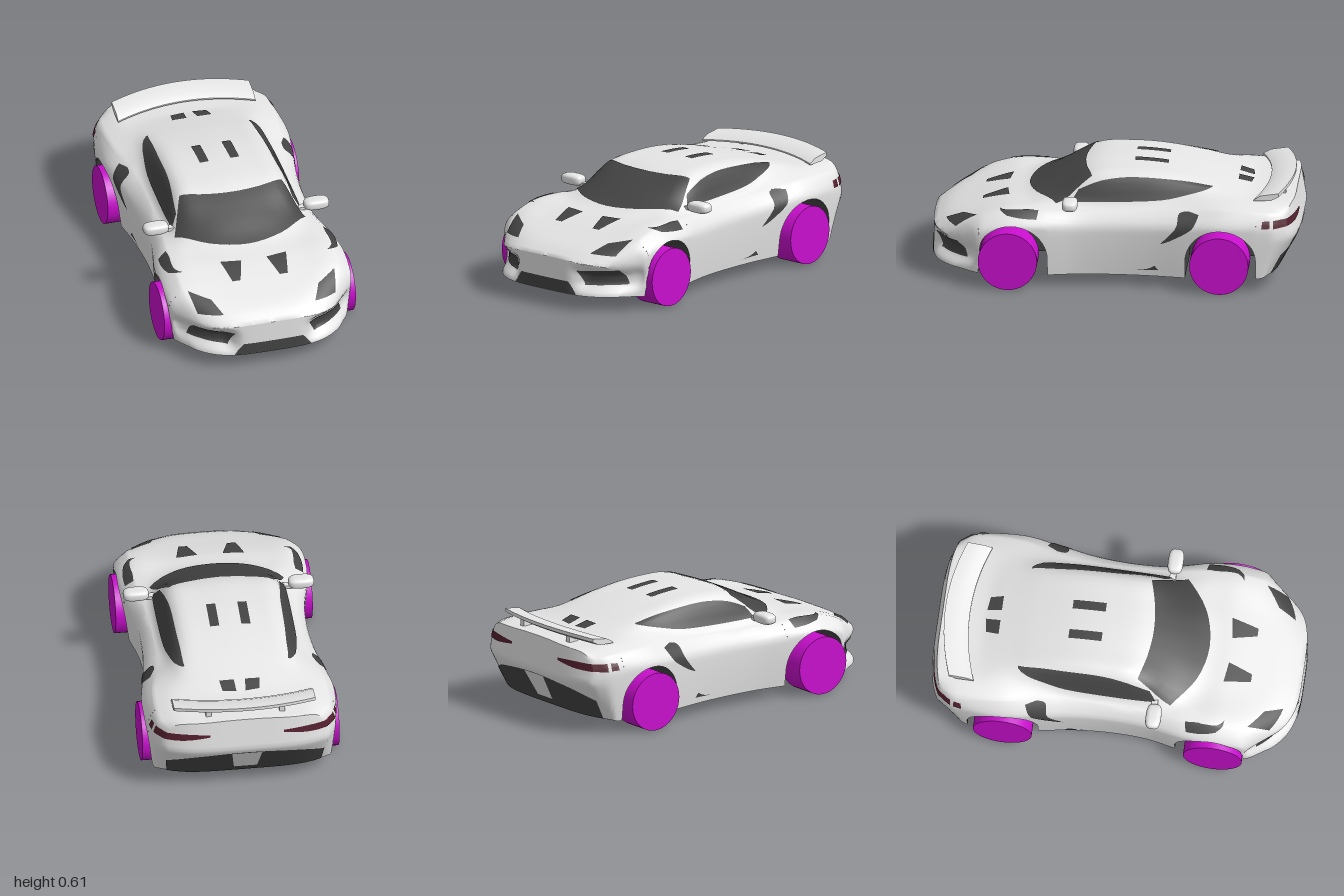
import * as THREE from 'three';
import { mergeGeometries, mergeVertices, toCreasedNormals } from 'three/addons/utils/BufferGeometryUtils.js';

const material = (name, color) => new THREE.MeshStandardMaterial({ name, color, side: THREE.DoubleSide });

// Smooth curve through [position, value] pairs
const profile = (p) => (t) => {
  let i = 0;
  while (i < p.length - 2 && t > p[i + 1][0]) i++;
  const slope = (k) => {
    const a = p[Math.max(k - 1, 0)], b = p[Math.min(k + 1, p.length - 1)];
    return (b[1] - a[1]) / (b[0] - a[0]);
  };
  const h = p[i + 1][0] - p[i][0], s = (t - p[i][0]) / h, s2 = s * s, s3 = s2 * s;
  return (2 * s3 - 3 * s2 + 1) * p[i][1] + (s3 - 2 * s2 + s) * h * slope(i)
    + (3 * s2 - 2 * s3) * p[i + 1][1] + (s3 - s2) * h * slope(i + 1);
};

// Body lines, tail (-1) to nose (+1)
const width = profile([[-1, .45], [-.93, .49], [-.85, .505], [-.6, .525], [-.4, .498], [-.2, .467], [0, .455],
  [.2, .465], [.4, .505], [.55, .52], [.7, .515], [.82, .5], [.92, .475], [1, .43]]);
const shoulderY = profile([[-1, .43], [-.85, .445], [-.6, .455], [-.4, .44], [-.1, .42], [.2, .41], [.4, .425],
  [.6, .42], [.8, .36], [.92, .305], [1, .25]]);
const shoulderInset = profile([[-1, .028], [-.85, .035], [-.6, .06], [-.4, .075], [0, .05], [.2, .05], [.55, .08],
  [.8, .07], [1, .06]]);
const beltX = profile([[-1, .36], [-.7, .38], [-.5, .36], [-.2, .365], [.3, .37], [.5, .38], [.7, .37], [1, .3]]);
const beltY = profile([[-1, .468], [-.75, .48], [-.5, .49], [-.3, .465], [0, .448], [.3, .437], [.45, .435],
  [.6, .425], [.8, .368], [.92, .315], [1, .262]]);
const roofX = profile([[-1, .2], [-.7, .27], [-.5, .275], [-.1, .285], [.2, .29], [.5, .28], [1, .17]]);
const roofY = profile([[-1, .478], [-.75, .487], [-.6, .515], [-.45, .55], [-.25, .58], [-.05, .588], [.13, .572],
  [.32, .477], [.45, .437], [.6, .42], [.8, .365], [.92, .32], [1, .272]]);
const crownY = profile([[-1, .484], [-.75, .492], [-.66, .513], [-.45, .565], [-.23, .603], [-.02, .612], [.14, .595],
  [.32, .52], [.48, .444], [.62, .417], [.78, .37], [.92, .322], [1, .275]]);

const ARCHES = [-.58, .555], ARCH_R = .195, AXLE_Y = .16;
const lowerEdge = (t, arch) => arch === null ? .066 + .02 * t * t
  : AXLE_Y + Math.sqrt(Math.max(0, ARCH_R ** 2 - (t - arch) ** 2));

// Rounds nose and tail in plan, recesses the front intakes and undercuts the tail
const { smoothstep } = THREE.MathUtils;
function place(t, x, y) {
  const front = Math.max(0, (t - .7) / .3) ** 1.5, rear = Math.max(0, (-t - .75) / .25) ** 1.5;
  const recess = .06 * smoothstep(Math.abs(x), .17, .26) * smoothstep(y, .09, .16) * (1 - smoothstep(y, .19, .265));
  const undercut = y < .3 ? .55 * (.3 - y) : .17 * (y - .3);
  const z = t - front * (3.45 * Math.abs(x) ** 3.7 + recess) + rear * (2 * Math.abs(x) ** 4.4 + undercut);
  return new THREE.Vector3(x, y, z);
}

// Half cross-section from lower edge to crown
function section(t, arch) {
  const w = width(t), ys = shoulderY(t), y0 = lowerEdge(t, arch), inset = shoulderInset(t);
  const ref = Math.min(.36, ys * .8), pts = [];
  for (let i = 0; i < 14; i++) {
    const y = y0 + (ys - y0) * i / 14;
    const x = y < ref ? w - .026 * ((ref - y) / (ref - .066)) ** 1.5 : w - inset * ((y - ref) / (ys - ref)) ** 1.6;
    pts.push([x, y]);
  }
  const rx = roofX(t), ry = roofY(t), c = crownY(t);
  const top = new THREE.SplineCurve([[w - inset, ys], [beltX(t), beltY(t)], [rx, ry], [rx / 2, ry + (c - ry) * .8], [0, c]]
    .map(([x, y]) => new THREE.Vector2(x, y)));
  return pts.concat(top.getPoints(16).map((p) => [p.x, p.y]));
}

// Surface from rows of points
function grid(rows) {
  const n = rows[0].length, index = [];
  for (let i = 0; i < rows.length - 1; i++) for (let j = 0; j < n - 1; j++) {
    const a = i * n + j, c = a + n;
    index.push(a, a + 1, c, a + 1, c + 1, c);
  }
  const g = new THREE.BufferGeometry().setFromPoints(rows.flat());
  g.setIndex(index);
  g.computeVertexNormals();
  return g;
}

const steps = (n, a = 0, b = 1) => Array.from({ length: n + 1 }, (_, i) => a + (b - a) * i / n);

export function createModel() {
  const car = new THREE.Group();
  car.name = 'sportsCar';
  const paint = material('bodyPaint', 0xe6e6e6), dark = material('darkTrim', 0x444444);
  const red = material('tailLightRed', 0x55202f), magenta = material('wheelMagenta', 0xc80fcc);
  const add = (name, geometry, mat, x = 0, y = 0, z = 0) => {
    const mesh = new THREE.Mesh(geometry, mat);
    mesh.name = name;
    mesh.position.set(x, y, z);
    car.add(mesh);
    return mesh;
  };

  // Stations along the body, split where the wheel arches begin and end
  const ends = [-1, ...ARCHES.flatMap((c) => [c - ARCH_R, c + ARCH_R]), 1];
  const segments = ends.slice(1).map((b, i) => {
    const a = ends[i], arch = i % 2 ? ARCHES[(i - 1) / 2] : null;
    const ts = arch === null ? steps(Math.ceil((b - a) / .025), a, b)
      : steps(24).map((k) => arch - ARCH_R * Math.cos(Math.PI * k));
    return ts.map((t) => ({ t, half: section(t, arch) }));
  });

  // Body shell with closed nose and tail
  const shells = segments.map((stations) => grid(stations.map(({ t, half }) => [
    ...half.map(([x, y]) => place(t, x, y)),
    ...half.slice(0, -1).reverse().map(([x, y]) => place(t, -x, y))])));
  const cap = (t) => grid(section(t, null).map(([x, y]) => steps(36, -t, t).map((s) => place(t, x * s, y))));
  const bodyGeometry = mergeVertices(mergeGeometries([...shells, cap(1), cap(-1)]).deleteAttribute('normal'), 1e-4);
  const body = add('body', toCreasedNormals(bodyGeometry, .95), paint);

  // Underside, arching over the wheels, with painted bumper corners at the front
  const under = (name, stations, mat, from, to) => add(name, toCreasedNormals(grid(stations.map(
    ({ t, half: [[x, y]] }) => steps(12, from, to).map((s) => place(t, x * s, y)))), .6), mat);
  const nose = segments[4];
  under('underside', [...segments.slice(0, 4).flat(), nose[0]], dark, -1, 1);
  under('noseUnderside', nose, dark, -.7, .7);
  under('bumperCorner', nose, paint, .7, 1);
  under('bumperCorner', nose, paint, -1, -.7);
  add('floorPan', new THREE.BoxGeometry(.76, .03, .72), dark, 0, .079, -.015);
  for (const z of ARCHES) add('wheelWellCore', new THREE.BoxGeometry(.26, .275, .39), dark, 0, .2225, z);

  // Thin panels laid onto the body between two edge curves
  const rays = {
    top: (a, b, s) => [[a * s, 2, b], [0, -1, 0]],
    side: (a, b, s) => [[2 * s, b, a], [-s, 0, 0]],
    front: (a, b, s) => [[a * s, b, 2], [0, 0, -1]],
    back: (a, b, s) => [[a * s, b, -2], [0, 0, 1]],
  };
  const caster = new THREE.Raycaster();
  function panel(name, mat, view, edgeA, edgeB, both = true, lift = .004) {
    const [ca, cb] = [edgeA, edgeB].map((e) => new THREE.SplineCurve(e.map((p) => new THREE.Vector2(...p))));
    for (const side of both ? [1, -1] : [1]) {
      let last = new THREE.Vector3();
      const rows = steps(8).map((v) => steps(16).map((u) => {
        const p = ca.getPoint(u).lerp(cb.getPoint(u), v);
        const [o, d] = rays[view](p.x, p.y, side).map((q) => new THREE.Vector3(...q));
        caster.set(o, d);
        const hit = caster.intersectObject(body)[0];
        if (hit) {
          const n = hit.face.normal.clone();
          if (n.dot(d) > 0) n.negate();
          last = hit.point.clone().addScaledVector(n, lift);
        }
        return last.clone();
      }));
      add(name, grid(rows), mat);
    }
  }

  // Windows
  panel('windshield', dark, 'top', [[-.365, .32], [-.2, .44], [0, .485], [.2, .44], [.365, .32]],
    [[-.285, .13], [-.15, .165], [0, .18], [.15, .165], [.285, .13]], false);
  panel('sideWindow', dark, 'side', [[.24, .45], [0, .456], [-.25, .47], [-.4, .5], [-.52, .528]],
    [[.2, .51], [.08, .558], [-.1, .577], [-.35, .56], [-.52, .532]]);

  // Lamps
  panel('headlight', dark, 'front', [[.385, .305], [.255, .31]], [[.41, .38], [.3, .355]]);
  panel('tailLight', red, 'back', [[.2, .392], [.33, .375], [.445, .37]], [[.2, .405], [.33, .412], [.445, .41]]);
  panel('tailLightSide', red, 'side', [[-.8, .37], [-.845, .37]], [[-.805, .408], [-.845, .41]]);
  panel('tailLightCorner', red, 'side', [[-.862, .367], [-.93, .37]], [[-.862, .41], [-.93, .41]]);

  // Vents and intakes
  panel('frontIntake', dark, 'front', [[.43, .147], [.24, .137]], [[.405, .235], [.205, .222]]);
  panel('lowerGrille', dark, 'front', [[-.215, .09], [.215, .09]], [[-.165, .158], [.165, .158]], false);
  panel('hoodVent', dark, 'top', [[.07, .6], [.11, .73]], [[.185, .585], [.155, .73]]);
  panel('roofVent', dark, 'top', [[.06, -.27], [.06, -.09]], [[.11, -.27], [.11, -.09]]);
  panel('deckVent', dark, 'top', [[.025, -.73], [.03, -.65]], [[.1, -.72], [.11, -.65]]);
  panel('fenderVent', dark, 'side', [[.42, .385], [.5, .39], [.58, .4]], [[.41, .425], [.5, .427], [.62, .42]]);
  panel('sideIntake', dark, 'side', [[-.25, .26], [-.335, .355], [-.35, .42], [-.4, .435]],
    [[-.25, .26], [-.31, .285], [-.42, .355], [-.46, .425]]);
  panel('sillVent', dark, 'side', [[-.12, .1], [-.24, .105]], [[-.18, .108], [-.22, .13]]);

  // Rear diffuser with its centre plate
  panel('diffuser', dark, 'back', [[-.42, .09], [-.2, .09], [0, .09], [.2, .09], [.42, .09]],
    [[-.43, .2], [-.28, .255], [0, .28], [.28, .255], [.43, .2]], false);
  panel('diffuserPlate', paint, 'back', [[-.065, .13], [.065, .13]], [[-.085, .28], [.085, .28]], false, .008);

  // Curved rear wing on two posts
  const wing = steps(20, -1, 1).map((s) => {
    const q = s * s, zf = -.82 + .07 * q, zr = -.955 + .07 * q, dy = -.016 * q;
    return [[zf, .512], [zf - .04, .535], [zr + .03, .545], [zr, .549], [zr, .53], [zr + .04, .508], [zf, .504], [zf, .512]]
      .map(([z, y]) => new THREE.Vector3(.385 * s, y + dy, z));
  });
  const tip = (row) => row.map(() => row[0].clone().lerp(row[3], .5));
  add('rearWing', toCreasedNormals(grid([tip(wing[0]), ...wing, tip(wing[20])]), .6), paint);

  // Mirror pod: a sphere pushed towards a rounded box
  const pod = new THREE.SphereGeometry(1, 32, 20), pos = pod.attributes.position;
  const square = (v) => Math.sign(v) * Math.abs(v) ** .65;
  for (let i = 0; i < pos.count; i++) {
    const [x, y, z] = [pos.getX(i), pos.getY(i), pos.getZ(i)].map(square);
    pos.setXYZ(i, x * .07, y * .03, z * .042);
  }
  pod.computeVertexNormals();

  for (const s of [1, -1]) {
    add('wingPost', new THREE.BoxGeometry(.03, .05, .06), paint, s * .2, .495, -.885);
    add('doorMirror', pod, paint, s * .45, .468, .24);
    add('mirrorStalk', new THREE.BoxGeometry(.08, .018, .035), paint, s * .385, .45, .235);

    // Wheels
    for (const z of [.572, -.573]) {
      const wheel = new THREE.CylinderGeometry(.16, .16, .155, 40).rotateZ(Math.PI / 2);
      add('wheel', wheel, magenta, s * .459, AXLE_Y, z);
    }
  }
  return car;
}
